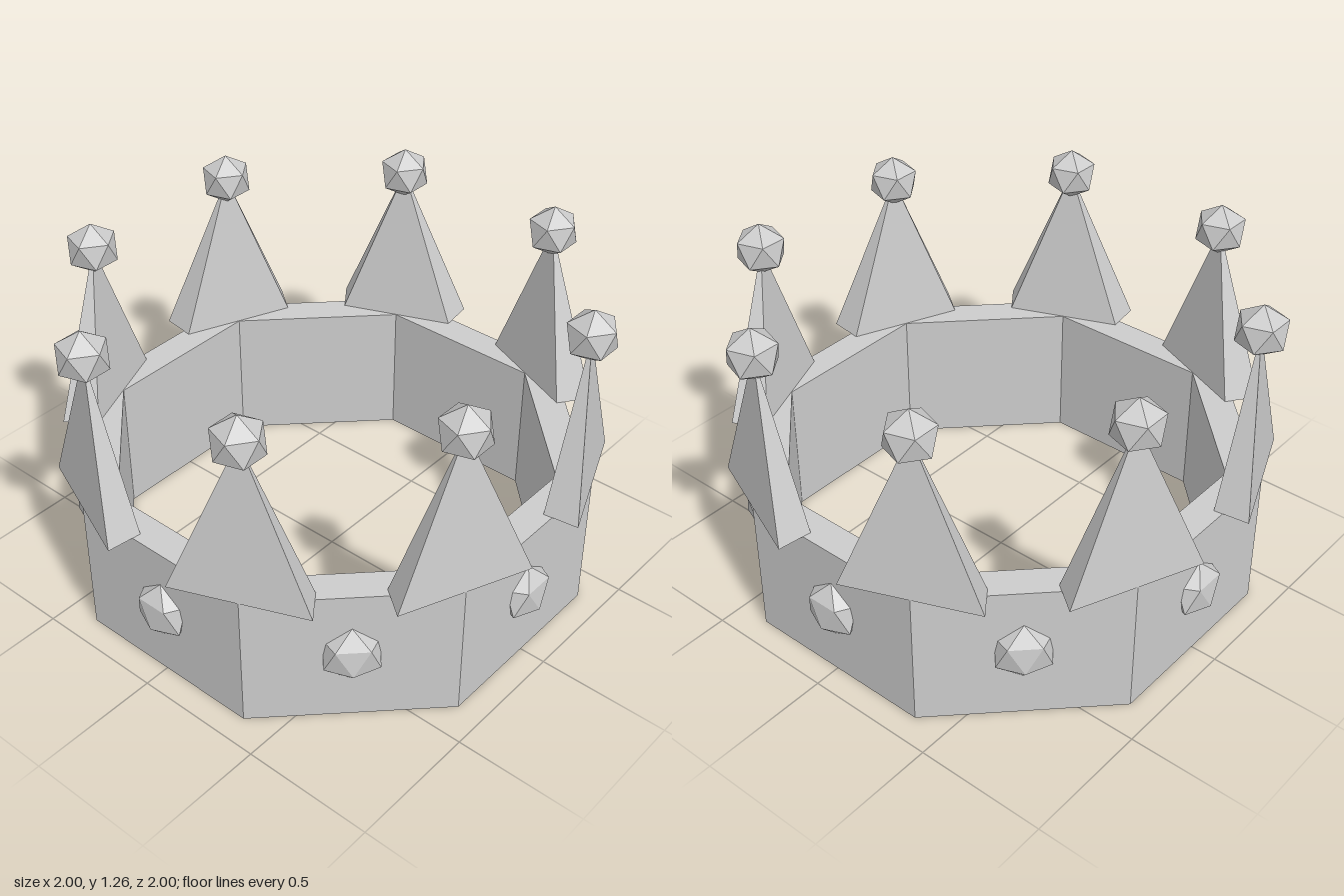
import * as THREE from 'three';
import { ConvexGeometry } from 'three/addons/geometries/ConvexGeometry.js';

const BAND_HEIGHT = 0.54;
const SIDES = 8;
const STEP = (Math.PI * 2) / SIDES;

// Point at a given angle around the crown; angle 0 faces +z
const polar = (radius, angle, y) =>
  new THREE.Vector3(Math.sin(angle) * radius, y, Math.cos(angle) * radius);

// Regular octagon outline with flat sides facing the axes
function octagon(apothem) {
  const r = apothem / Math.cos(STEP / 2);
  return Array.from({ length: SIDES }, (_, i) => {
    const a = (i + 0.5) * STEP;
    return new THREE.Vector2(Math.cos(a) * r, Math.sin(a) * r);
  });
}

// Icosahedron standing on a vertex, with an upper ring vertex towards +z
function standingIcosahedron(radius) {
  const phi = (1 + Math.sqrt(5)) / 2;
  return new THREE.IcosahedronGeometry(radius, 0).rotateX(-Math.atan2(phi, 1));
}

export function createModel() {
  const crown = new THREE.Group();
  crown.name = 'crown';
  const metal = new THREE.MeshStandardMaterial({ color: 0xcccccc });
  metal.name = 'paleGrey';

  const add = (name, geometry) => {
    const mesh = new THREE.Mesh(geometry, metal);
    mesh.name = name;
    crown.add(mesh);
    return mesh;
  };

  // Octagonal band
  const outline = new THREE.Shape(octagon(0.9));
  outline.holes.push(new THREE.Path(octagon(0.78).reverse()));
  const band = new THREE.ExtrudeGeometry(outline, { depth: BAND_HEIGHT, bevelEnabled: false });
  add('band', band.rotateX(-Math.PI / 2));

  // Spike with radial sides, tapering to a point
  const half = THREE.MathUtils.degToRad(14.75);
  const spike = new ConvexGeometry([
    polar(1.008, -half, BAND_HEIGHT),
    polar(1.008, half, BAND_HEIGHT),
    polar(0.875, half, BAND_HEIGHT),
    polar(0.875, -half, BAND_HEIGHT),
    polar(0.915, 0, 1.16),
  ]);
  const ball = standingIcosahedron(0.1).rotateY(Math.PI / 2);
  // Gem flattened against the band, lower ring vertex outwards
  const gem = standingIcosahedron(0.115).rotateY(Math.PI).scale(1, 1, 0.6);

  for (let i = 0; i < SIDES; i++) {
    const corner = (i + 0.5) * STEP;
    add('spike', spike).rotation.y = corner;
    add('spikeBall', ball).position.copy(polar(0.915, corner, 1.16));

    const jewel = add('gem', gem);
    jewel.position.copy(polar(0.9, i * STEP, 0.285));
    jewel.rotation.y = i * STEP;
  }
  return crown;
}
